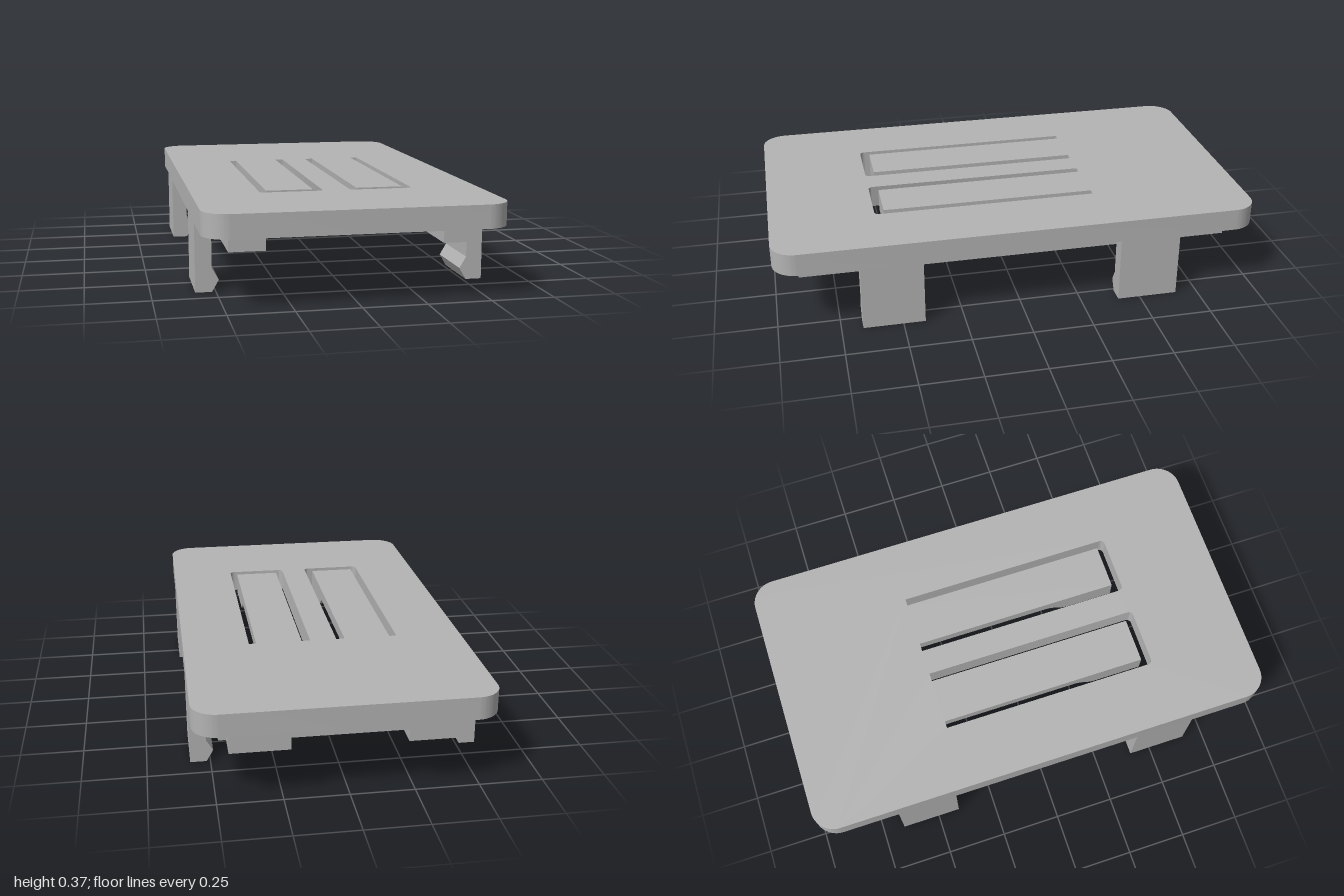
import * as THREE from 'three';
import { toCreasedNormals } from 'three/addons/utils/BufferGeometryUtils.js';

const TOP = 0.367, UNDER = 0.275, RAIL = 0.207;

export function createModel() {
  const model = new THREE.Group();
  const grey = new THREE.MeshStandardMaterial({ color: 0xb4b4b4 });
  grey.name = 'grey plastic';

  const add = (name, geometry) => {
    const mesh = new THREE.Mesh(geometry, grey);
    mesh.name = name;
    model.add(mesh);
    return mesh;
  };
  const block = (name, x0, x1, y0, y1, z0, z1) => {
    const g = new THREE.BoxGeometry(x1 - x0, y1 - y0, z1 - z0);
    add(name, g.translate((x0 + x1) / 2, (y0 + y1) / 2, (z0 + z1) / 2));
  };
  // Rectangle in plan (x, z) with separate corner radii at the back and front
  const plan = (path, x0, x1, z0, z1, rBack, rFront) => {
    path.moveTo(x0 + rBack, z0);
    path.lineTo(x1 - rBack, z0);
    if (rBack) path.absarc(x1 - rBack, z0 + rBack, rBack, -Math.PI / 2, 0);
    path.lineTo(x1, z1 - rFront);
    path.absarc(x1 - rFront, z1 - rFront, rFront, 0, Math.PI / 2);
    path.lineTo(x0 + rFront, z1);
    path.absarc(x0 + rFront, z1 - rFront, rFront, Math.PI / 2, Math.PI);
    path.lineTo(x0, z0 + rBack);
    if (rBack) path.absarc(x0 + rBack, z0 + rBack, rBack, Math.PI, Math.PI * 1.5);
    return path;
  };

  // Cover plate with an opening for each spring tongue
  const outline = plan(new THREE.Shape(), -0.58, 0.58, -1, 1, 0.1, 0.1);
  for (const x of [-0.31, 0.055]) {
    outline.holes.push(plan(new THREE.Path(), x, x + 0.255, -0.36, 0.57, 0, 0.02));
  }
  const plate = new THREE.ExtrudeGeometry(outline, { depth: TOP - UNDER, bevelEnabled: false, curveSegments: 12 });
  plate.rotateX(Math.PI / 2).translate(0, TOP, 0);
  add('coverPlate', toCreasedNormals(plate, 0.6));

  // Thin pad under the back, between the rail pads
  block('centrePad', -0.22, 0.22, 0.255, UNDER, -1, -0.53);

  for (const s of [1, -1]) {
    const side = s > 0 ? 'left' : 'right';
    const span = (a, b) => (s > 0 ? [a, b] : [-b, -a]);

    // Long rail and the wider pad at its back end
    block(side + 'Rail', ...span(0.34, 0.48), RAIL, UNDER, -0.89, 0.9);
    block(side + 'BackPad', ...span(0.22, 0.45), RAIL, UNDER, -1, -0.53);

    // Snap clips with an inward hook
    const clip = new THREE.Shape([
      [0.58, 0], [0.58, UNDER], [0.515, UNDER], [0.515, 0.093], [0.488, 0.047], [0.515, 0],
    ].map(([x, y]) => new THREE.Vector2(s * x, y)));
    for (const [name, z] of [['Front', 0.41], ['Back', -0.66]]) {
      const g = new THREE.ExtrudeGeometry(clip, { depth: 0.253, bevelEnabled: false });
      add(side + name + 'Clip', g.translate(0, 0, z));
    }

    // Spring tongue: thin along its length, curving down to full thickness at the tip
    const tongue = new THREE.Shape();
    tongue.moveTo(-0.36, TOP);
    tongue.lineTo(-0.36, 0.32);
    tongue.lineTo(0.22, 0.32);
    tongue.bezierCurveTo(0.27, 0.32, 0.28, UNDER, 0.33, UNDER);
    tongue.lineTo(0.53, UNDER);
    tongue.lineTo(0.53, TOP);
    const t = new THREE.ExtrudeGeometry(tongue, { depth: 0.19, bevelEnabled: false });
    t.rotateY(-Math.PI / 2).translate(s * 0.185 + 0.095, 0, 0);
    add(side + 'Tongue', toCreasedNormals(t, 0.6));

    // Round pin with a flared root
    const profile = [[0, RAIL], [0.035, RAIL], [0.035, 0.25], [0.038, 0.262], [0.044, 0.27], [0.053, UNDER]];
    const pin = new THREE.LatheGeometry(profile.map(([r, y]) => new THREE.Vector2(r, y)), 32);
    add(side + 'Pin', toCreasedNormals(pin.translate(s * 0.185, 0, 0.44), 0.7));
  }
  return model;
}
